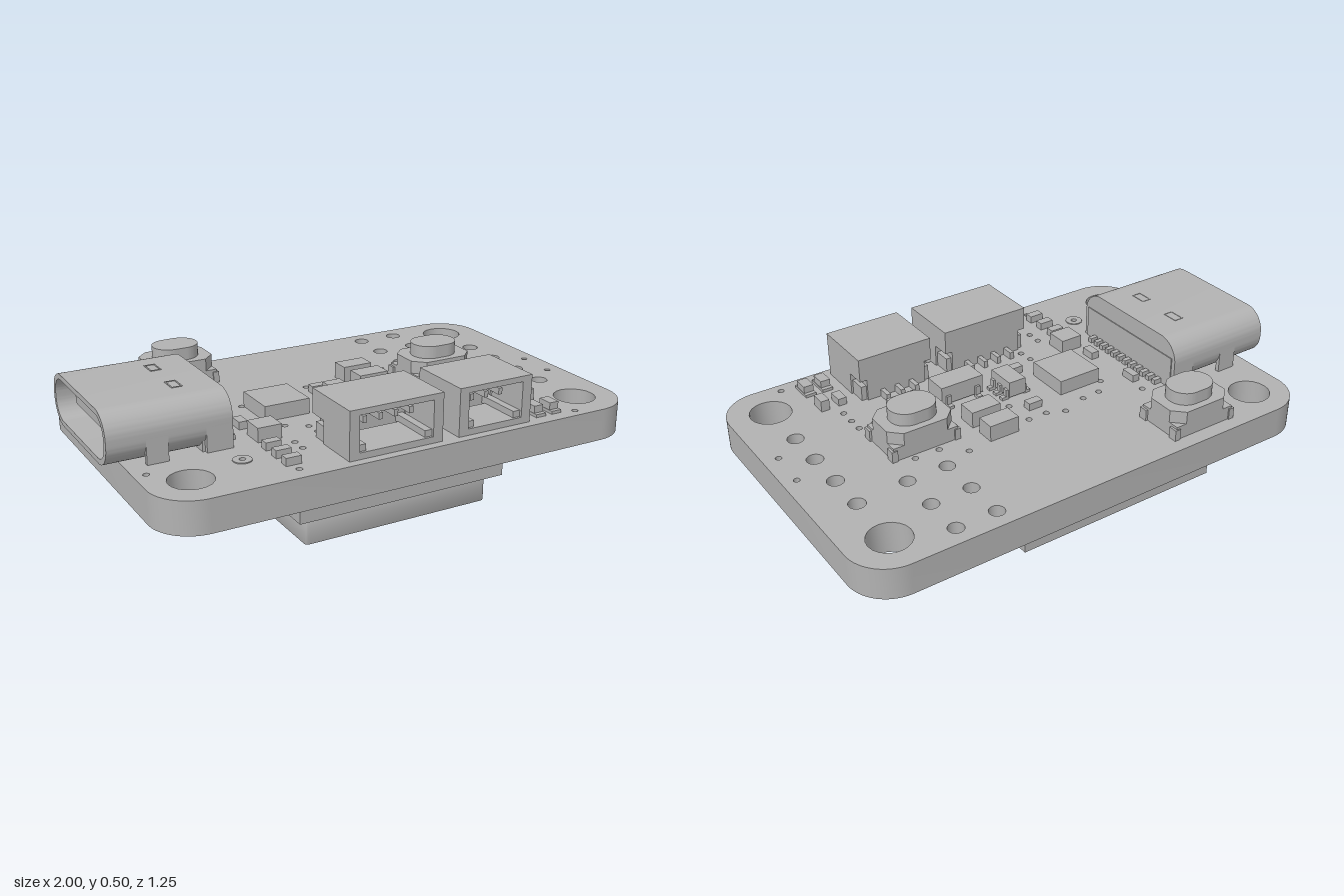
import * as THREE from 'three';
import { toCreasedNormals } from 'three/addons/utils/BufferGeometryUtils.js';

const grey = new THREE.MeshStandardMaterial({ color: 0xb2b2b2 });
grey.name = 'plain grey';
const TOP = 0.29, UNDER = 0.165;

function add(parent, name, geometry) {
  const mesh = new THREE.Mesh(geometry, grey);
  mesh.name = name;
  parent.add(mesh);
  return mesh;
}

// Box given by its extents
function box(parent, name, x0, x1, y0, y1, z0, z1) {
  const mesh = add(parent, name, new THREE.BoxGeometry(x1 - x0, y1 - y0, z1 - z0));
  mesh.position.set((x0 + x1) / 2, (y0 + y1) / 2, (z0 + z1) / 2);
  return mesh;
}

function group(parent, name, x = 0, y = 0, z = 0) {
  const g = new THREE.Group();
  g.name = name;
  g.position.set(x, y, z);
  parent.add(g);
  return g;
}

// Rounded rectangle outline around a centre
function roundRect(target, cx, cy, w, h, r) {
  const x0 = cx - w / 2, x1 = cx + w / 2, y0 = cy - h / 2, y1 = cy + h / 2;
  target.moveTo(x0 + r, y0).lineTo(x1 - r, y0);
  target.absarc(x1 - r, y0 + r, r, -Math.PI / 2, 0, false);
  target.absarc(x1 - r, y1 - r, r, 0, Math.PI / 2, false);
  target.absarc(x0 + r, y1 - r, r, Math.PI / 2, Math.PI, false);
  target.absarc(x0 + r, y0 + r, r, Math.PI, Math.PI * 1.5, false);
  return target;
}

function extrude(shape, depth, curveSegments = 10) {
  const g = new THREE.ExtrudeGeometry(shape, { depth, bevelEnabled: false, curveSegments });
  return toCreasedNormals(g, 0.6);
}
// Plan shape (x, -z) pushed upwards
const extrudeUp = (shape, depth) => extrude(shape, depth).rotateX(-Math.PI / 2);
// Profile (z, y) pushed along +x
const extrudeAlongX = (shape, depth) => extrude(shape, depth).rotateY(Math.PI / 2);

function buildBoard(root) {
  const shape = roundRect(new THREE.Shape(), 0.0325, 0, 1.935, 1.245, 0.16);
  const drill = (x, z, r) => {
    const p = new THREE.Path();
    p.absarc(x, -z, r, 0, Math.PI * 2, true);
    shape.holes.push(p);
  };
  // Mounting holes
  for (const x of [-0.775, 0.835]) for (const z of [-0.465, 0.457]) drill(x, z, 0.081);
  // Pin holes
  for (const x of [0.465, 0.628]) for (const z of [-0.545, -0.385, -0.225]) drill(x, z, 0.03);
  for (const z of [-0.24, -0.08, 0.08, 0.24]) drill(0.835, z, 0.032);
  // Vias
  const vias = [[0.545, 0.17], [0.608, 0.17], [0.608, 0.23], [0.608, 0.295], [0.735, 0.58], [0.945, 0],
    [0.94, 0.16], [-0.89, 0.35], [0.535, -0.12], [0.435, -0.12], [-0.29, -0.13], [-0.21, -0.135],
    [-0.1, -0.17], [-0.03, -0.14], [0.05, -0.14], [-0.345, -0.07], [-0.345, 0.15], [-0.29, 0.185],
    [-0.215, 0.23], [-0.21, 0.29], [-0.33, 0.34], [-0.33, 0.4], [0.06, -0.02], [0.35, -0.19],
    [0.14, 0.455], [0.195, 0.455], [-0.425, 0.555], [-0.445, -0.21], [-0.56, 0.395]];
  for (const [x, z] of vias) drill(x, z, 0.012);
  add(root, 'circuitBoard', extrudeUp(shape, TOP - UNDER)).position.y = UNDER;
  const pad = new THREE.Shape().absarc(0, 0, 0.035, 0, Math.PI * 2, false);
  pad.holes.push(new THREE.Path().absarc(0, 0, 0.012, 0, Math.PI * 2, true));
  add(root, 'testPad', extrudeUp(pad, 0.004)).position.set(-0.56, TOP, 0.395);
}

// Hollow round-cornered port with tongue, legs and contacts
function buildPort(root) {
  const g = group(root, 'cablePort');
  const shell = roundRect(new THREE.Shape(), 0, 0.393, 0.565, 0.2, 0.09);
  shell.holes.push(roundRect(new THREE.Path(), 0, 0.393, 0.525, 0.16, 0.072));
  add(g, 'portShell', extrudeAlongX(shell, 0.46)).position.x = -1;
  const core = roundRect(new THREE.Shape(), 0, 0.393, 0.525, 0.16, 0.072);
  add(g, 'portCore', extrudeAlongX(core, 0.12)).position.x = -0.66;
  const tongue = roundRect(new THREE.Shape(), 0, 0.393, 0.4, 0.045, 0.015);
  add(g, 'portTongue', extrudeAlongX(tongue, 0.29)).position.x = -0.945;
  box(g, 'portRearBlock', -0.65, -0.536, TOP, 0.42, -0.265, 0.265);
  for (const s of [-1, 1]) {
    for (const [x0, x1] of [[-0.86, -0.78], [-0.64, -0.54]]) {
      box(g, 'portLeg', x0, x1, 0.2, 0.4, s * 0.274 - 0.0085, s * 0.274 + 0.0085);
    }
    const slot = new THREE.Shape();
    roundRect(slot, 0, 0, 0.042, 0.07, 0.002);
    slot.holes.push(roundRect(new THREE.Path(), 0, 0, 0.032, 0.06, 0.002));
    add(g, 'springWindow', extrudeUp(slot, 0.003)).position.set(-0.682, 0.492, s * 0.1);
  }
  for (let i = 0; i < 12; i++) {
    const z = -0.205 + i * 0.0373;
    box(g, 'portContact', -0.54, -0.503, TOP, 0.31, z - 0.01, z + 0.01);
  }
}

function buildButton(root, x, z) {
  const g = group(root, 'pushButton', x, TOP, z);
  const plan = new THREE.Shape();
  const w = 0.135, d = 0.098, c = 0.045;
  [[-w + c, -d], [w - c, -d], [w, -d + c], [w, d - c], [w - c, d], [-w + c, d], [-w, d - c], [-w, -d + c]]
    .forEach(([px, py], i) => (i ? plan.lineTo(px, py) : plan.moveTo(px, py)));
  plan.closePath();
  add(g, 'buttonBody', extrudeUp(plan, 0.105));
  add(g, 'buttonCap', extrudeUp(roundRect(new THREE.Shape(), 0, 0, 0.185, 0.14, 0.069), 0.155));
  box(g, 'buttonBase', -w, w, 0, 0.055, -d, d);
  for (const sx of [-1, 1]) for (const sz of [-1, 1]) {
    box(g, 'buttonTerminal', sx * 0.132 - 0.012, sx * 0.132 + 0.012, 0, 0.045, sz * 0.085 - 0.018, sz * 0.085 + 0.018);
  }
}

// Open-fronted wire socket with pins inside and tails behind
function buildSocket(root, x, width, pins) {
  const g = group(root, 'wireSocket', x, TOP, 0);
  const w = width / 2, z0 = 0.325, z1 = 0.588, h = 0.185;
  box(g, 'socketFloor', -w, w, 0, 0.025, z0 + 0.08, z1);
  box(g, 'socketRoof', -w, w, h - 0.022, h, z0, z1);
  box(g, 'socketBack', -w + 0.03, w - 0.03, 0, h - 0.022, z0, z0 + 0.06);
  for (const s of [-1, 1]) {
    const wall = s * (w - 0.02);
    box(g, 'socketWall', wall - 0.02, wall + 0.02, 0, h - 0.022, z0 + 0.08, z1);
    box(g, 'socketShoulder', wall - 0.02, wall + 0.02, 0.09, h - 0.022, z0, z0 + 0.08);
    box(g, 'socketTab', wall - 0.012, wall + 0.012, 0, 0.06, z0 + 0.01, z0 + 0.08);
    box(g, 'socketKey', s * (w - 0.055) - 0.015, s * (w - 0.055) + 0.015, 0.02, 0.05, z0 + 0.06, z1 - 0.01);
  }
  for (let i = 0; i < pins; i++) {
    const px = (i - (pins - 1) / 2) * 0.063;
    box(g, 'socketPin', px - 0.008, px + 0.008, 0.105, 0.13, z0 + 0.05, z1 - 0.06);
    box(g, 'socketTail', px - 0.009, px + 0.009, 0, 0.03, z0 - 0.05, z0 + 0.01);
  }
}

// Small chip with bent legs along both z edges
function buildLeggedChip(root, x, z, w, d, h, frontLegs, backLegs, turn = 0) {
  const g = group(root, 'leggedChip', x, TOP, z);
  g.rotation.y = turn;
  box(g, 'chipBody', -w / 2, w / 2, 0.01, h, -d / 2, d / 2);
  for (const [s, list] of [[1, frontLegs], [-1, backLegs]]) for (const px of list) {
    box(g, 'chipFoot', px - 0.01, px + 0.01, 0, 0.012, s * (d / 2 + 0.013) - 0.015, s * (d / 2 + 0.013) + 0.015);
    box(g, 'chipLeg', px - 0.01, px + 0.01, 0, h * 0.55, s * (d / 2 + 0.004) - 0.006, s * (d / 2 + 0.004) + 0.006);
  }
}

function buildTopParts(root) {
  box(root, 'mainChip', -0.337, -0.152, TOP, 0.35, -0.067, 0.118);
  buildLeggedChip(root, -0.005, 0.08, 0.125, 0.075, 0.075, [-0.045, 0, 0.045], [-0.045, 0, 0.045], Math.PI / 2);
  buildLeggedChip(root, 0.185, 0.165, 0.185, 0.1, 0.085, [-0.065, 0, 0.065], [-0.065, 0.065]);
  // x, z, width, depth, height
  const parts = [[0.19, -0.147, 0.125, 0.075, 0.065], [0.195, -0.03, 0.125, 0.08, 0.065],
    [0.41, 0.163, 0.125, 0.075, 0.065], [-0.4, 0.24, 0.095, 0.09, 0.055],
    [-0.015, -0.075, 0.06, 0.035, 0.03], [-0.1, 0.18, 0.06, 0.035, 0.03],
    [-0.46, -0.12, 0.032, 0.065, 0.03], [-0.437, 0.113, 0.035, 0.06, 0.03],
    [-0.425, 0.347, 0.06, 0.035, 0.03], [-0.425, 0.425, 0.06, 0.035, 0.03], [-0.425, 0.5, 0.06, 0.035, 0.03],
    [0.582, 0.38, 0.035, 0.06, 0.03], [0.655, 0.38, 0.035, 0.06, 0.045]];
  for (const [x, z, w, d, h] of parts) box(root, 'surfacePart', x - w / 2, x + w / 2, TOP, TOP + h, z - d / 2, z + d / 2);
  // Indicator lights
  for (const x of [0.583, 0.655]) {
    box(root, 'lightBase', x - 0.022, x + 0.022, TOP, 0.302, 0.475, 0.57);
    box(root, 'lightLens', x - 0.02, x + 0.02, TOP, 0.33, 0.492, 0.553);
  }
}

function buildUnderside(root) {
  box(root, 'radioModulePlate', -0.45, 0.388, 0.11, UNDER, -0.6, 0.605);
  // Shield can with softened lower edges
  const can = roundRect(new THREE.Shape(), 0, 0, 0.74, 0.76, 0.01);
  const geo = new THREE.ExtrudeGeometry(can, {
    depth: 0.1, bevelEnabled: true, bevelThickness: 0.006, bevelSize: 0.006, bevelSegments: 2, curveSegments: 3,
  }).rotateX(-Math.PI / 2);
  add(root, 'shieldCan', toCreasedNormals(geo, 0.6)).position.set(-0.032, 0.006, 0.178);
  // x, z, width, depth, height
  const parts = [[0.51, -0.015, 0.11, 0.08, 0.062], [0.51, 0.09, 0.11, 0.08, 0.062],
    [-0.55, 0.28, 0.13, 0.08, 0.035], [-0.53, 0.18, 0.06, 0.035, 0.03],
    [-0.51, -0.2, 0.06, 0.035, 0.03], [0.45, 0.24, 0.06, 0.035, 0.03]];
  for (const [x, z, w, d, h] of parts) box(root, 'undersidePart', x - w / 2, x + w / 2, UNDER - h, UNDER, z - d / 2, z + d / 2);
  box(root, 'undersideChip', -0.85, -0.72, 0.123, UNDER, -0.17, 0.03);
  for (const z of [-0.135, -0.07, -0.005]) box(root, 'undersideChipLegs', -0.87, -0.7, 0.15, UNDER, z - 0.012, z + 0.012);
  box(root, 'undersideArray', 0.455, 0.545, 0.105, UNDER - 0.01, 0.36, 0.485);
  for (const z of [0.376, 0.422, 0.468]) box(root, 'undersideArrayLegs', 0.42, 0.58, 0.13, UNDER, z - 0.01, z + 0.01);
  box(root, 'undersideDiode', -0.625, -0.49, 0.105, UNDER, 0.375, 0.47);
}

export function createModel() {
  const root = new THREE.Group();
  root.name = 'circuitBoardAssembly';
  buildBoard(root);
  buildPort(root);
  buildButton(root, -0.45, -0.465);
  buildButton(root, 0.474, 0);
  buildSocket(root, -0.06, 0.38, 4);
  buildSocket(root, 0.357, 0.315, 3);
  buildTopParts(root);
  buildUnderside(root);
  return root;
}
